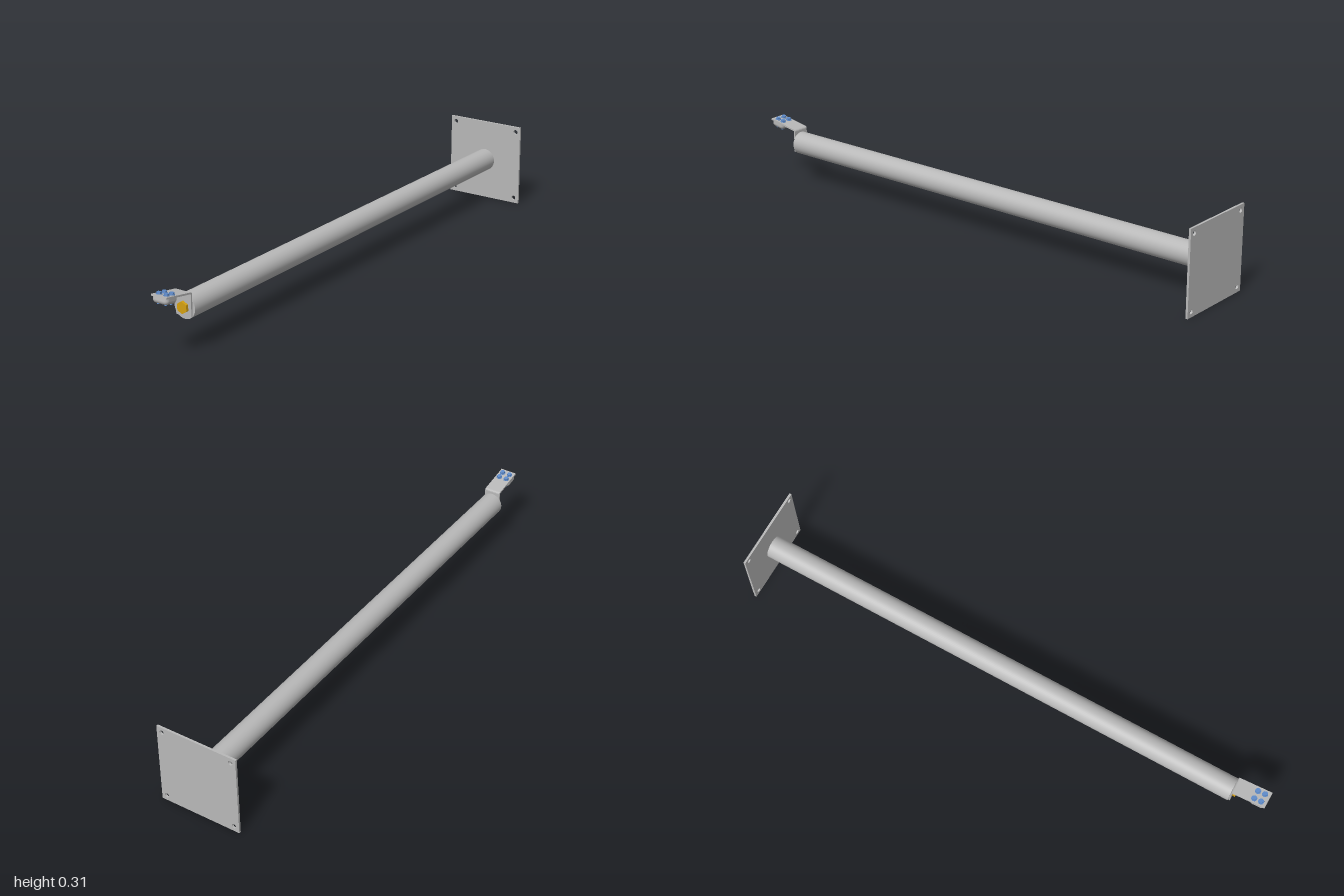
import * as THREE from 'three';
import { RoundedBoxGeometry } from 'three/addons/geometries/RoundedBoxGeometry.js';

const material = (name, color) => {
  const m = new THREE.MeshStandardMaterial({ color });
  m.name = name;
  return m;
};

export function createModel() {
  const steel = material('grey steel', 0xb8b8b8);
  const brass = material('yellow brass', 0xd4a010);
  const blue = material('blue zinc', 0x5f8ccb);

  const model = new THREE.Group();
  model.name = 'standoffArm';
  const CY = 0.154; // height of the tube axis

  const add = (parent, name, geometry, mat, x = 0, y = 0, z = 0) => {
    const mesh = new THREE.Mesh(geometry, mat);
    mesh.name = name;
    mesh.position.set(x, y, z);
    parent.add(mesh);
    return mesh;
  };

  // Square wall plate with four corner holes
  const half = 0.154;
  const plate = new THREE.Shape([
    new THREE.Vector2(-half, -half), new THREE.Vector2(half, -half),
    new THREE.Vector2(half, half), new THREE.Vector2(-half, half),
  ]);
  for (const x of [-0.134, 0.134]) for (const y of [-0.134, 0.134]) {
    plate.holes.push(new THREE.Path().absarc(x, y, 0.0085, 0, Math.PI * 2, true));
  }
  add(model, 'wallPlate',
    new THREE.ExtrudeGeometry(plate, { depth: 0.008, bevelEnabled: false, curveSegments: 16 }),
    steel, 0, CY, -1);

  // Long capped tube
  const front = 0.873;
  const length = front + 0.992;
  add(model, 'tube', new THREE.CylinderGeometry(0.042, 0.042, length, 48).rotateX(Math.PI / 2),
    steel, 0, CY, front - length / 2);

  // Bent strap: upright against the tube end, then an arm rising forward (z, y profile)
  const strap = new THREE.Shape();
  strap.moveTo(front, 0.124);
  strap.lineTo(front + 0.006, 0.124);
  strap.lineTo(front + 0.006, 0.203);
  strap.quadraticCurveTo(front + 0.006, 0.205, front + 0.009, 0.2055);
  strap.lineTo(0.999, 0.226);
  strap.lineTo(0.998, 0.232);
  strap.lineTo(front + 0.007, 0.2113);
  strap.quadraticCurveTo(front, 0.2095, front, 0.203);
  const strapGeometry = new THREE.ExtrudeGeometry(strap, { depth: 0.062, bevelEnabled: false, curveSegments: 6 });
  strapGeometry.translate(0, 0, -0.031).rotateY(-Math.PI / 2);
  add(model, 'strapBracket', strapGeometry, steel);

  // Hex bolt holding the strap to the tube
  const hexBolt = new THREE.CylinderGeometry(0.0215, 0.0215, 0.01, 6).toNonIndexed();
  hexBolt.rotateX(Math.PI / 2).computeVertexNormals();
  add(model, 'endBolt', hexBolt, brass, 0, CY + 0.001, front + 0.011).rotation.z = 0.08;

  // Clamp under the arm, tilted with it
  const clamp = new THREE.Group();
  clamp.name = 'clamp';
  clamp.position.set(0, 0.2205, 0.968);
  clamp.rotation.x = -0.17;
  model.add(clamp);

  // Clamp pad: rounded block with its upper half flattened against the arm
  const pad = new RoundedBoxGeometry(0.062, 0.044, 0.058, 5, 0.014);
  const p = pad.attributes.position;
  for (let i = 0; i < p.count; i++) p.setY(i, Math.min(p.getY(i), 0));
  add(clamp, 'clampPad', pad, steel);

  // Four clamp bolts with washers above and shank ends below
  const head = new THREE.CylinderGeometry(0.0085, 0.0085, 0.007, 6).toNonIndexed();
  head.computeVertexNormals();
  const washer = new THREE.CylinderGeometry(0.0105, 0.0105, 0.002, 20);
  const shank = new THREE.CylinderGeometry(0.0042, 0.0042, 0.031, 12);
  for (const x of [-0.0148, 0.0148]) for (const z of [-0.0145, 0.0115]) {
    add(clamp, 'clampWasher', washer, blue, x, 0.007, z);
    add(clamp, 'clampBoltHead', head, blue, x, 0.0108, z);
    add(clamp, 'clampBoltShank', shank, blue, x, -0.0105, z);
  }

  return model;
}
